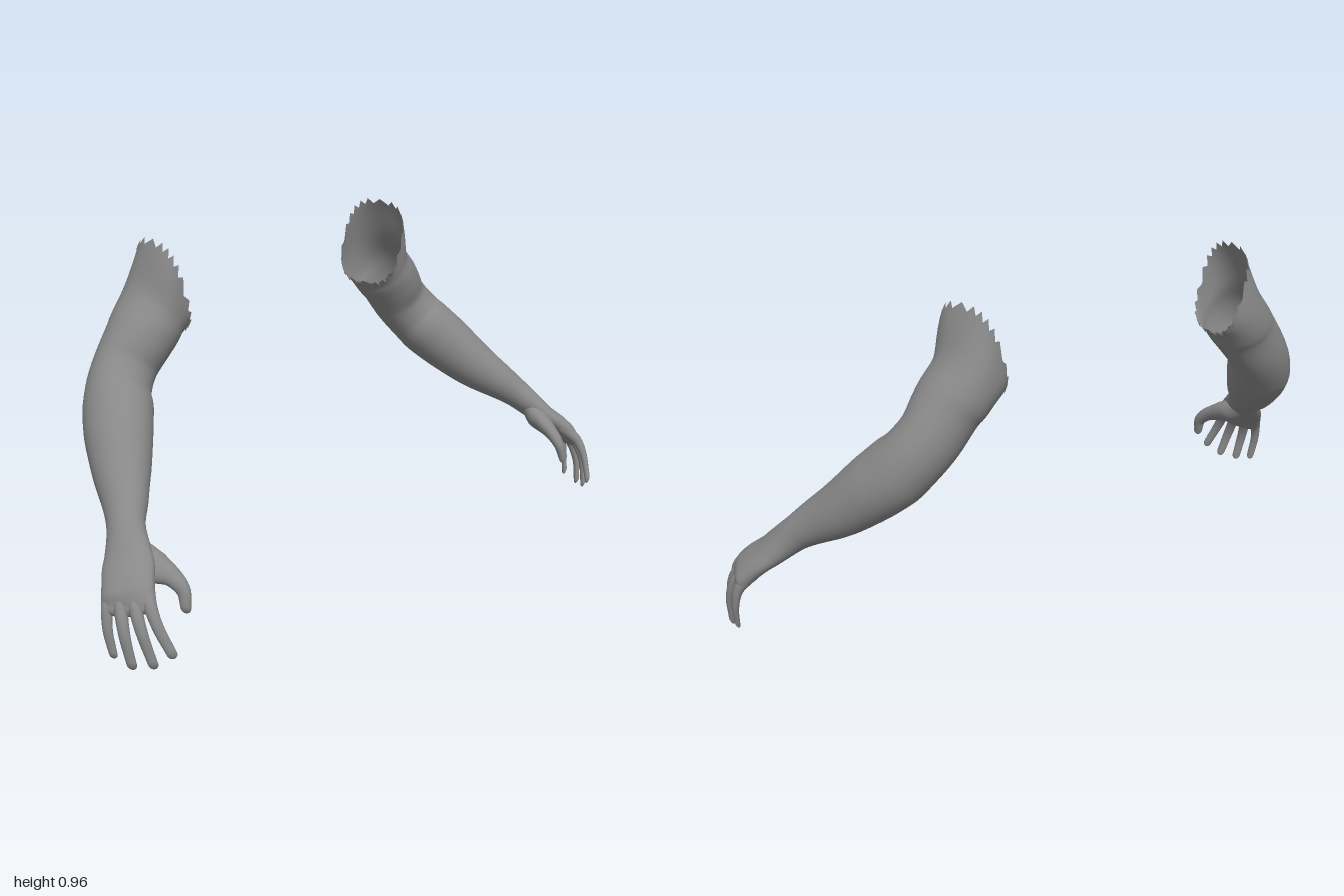
import * as THREE from 'three';

const material = new THREE.MeshStandardMaterial({ color: 0x888888, side: THREE.DoubleSide });

// Smooth skin through rings: { c: centre, u: direction, r: [radius on u, radius across, squareness] }
function loft(rings, sides, steps, jag, mirror) {
  const curveOf = (key) => new THREE.CatmullRomCurve3(rings.map((k) => new THREE.Vector3(...k[key])));
  const centre = curveOf('c'), dir = curveOf('u'), radius = curveOf('r');
  const pos = [], index = [];
  const addRing = (t, shrink, push) => {
    const c = centre.getPoint(t), tan = centre.getTangent(t), u = dir.getPoint(t).normalize();
    const v = tan.clone().cross(u).normalize(), r = radius.getPoint(t);
    const power = (x) => Math.sign(x) * Math.pow(Math.abs(x), r.z);
    for (let j = 0; j < sides; j++) {
      const a = (j / sides) * Math.PI * 2;
      const p = c.clone()
        .addScaledVector(u, r.x * shrink * power(Math.cos(a)))
        .addScaledVector(v, r.y * shrink * power(Math.sin(a)))
        .addScaledVector(tan, push * r.x);
      // ragged teeth on the open edge
      if (t === 0 && j % 2) p.addScaledVector(tan, jag);
      pos.push(mirror * p.x, p.y, p.z);
    }
  };
  for (let i = 0; i <= steps; i++) addRing(i / steps, 1, 0);
  // rounded end
  for (let k = 1; k <= 5; k++) {
    const a = (k / 5) * Math.PI / 2;
    addRing(1, Math.max(Math.cos(a), 0.001), Math.sin(a));
  }
  const rows = steps + 6;
  for (let i = 0; i < rows - 1; i++) {
    for (let j = 0; j < sides; j++) {
      const a = i * sides + j, b = i * sides + (j + 1) % sides, c = a + sides, d = b + sides;
      if (mirror > 0) index.push(a, b, c, b, d, c);
      else index.push(a, c, b, b, c, d);
    }
  }
  const geo = new THREE.BufferGeometry();
  geo.setAttribute('position', new THREE.Float32BufferAttribute(pos, 3));
  geo.setIndex(index);
  geo.computeVertexNormals();
  return geo;
}

const ring = (c, u, ru, rv, e = 1) => ({ c, u, r: [ru, rv, e] });
const out = [0.82, 0.576, 0], hand = [0.633, 0.727, 0.206];

// Upper arm, elbow, forearm, wrist and palm
const armRings = [
  ring([0.43, 0.84, -0.215], [0.3, 0.954, 0], 0.131, 0.105, 0.68),
  ring([0.474, 0.757, -0.225], [0.6, 0.8, 0], 0.094, 0.105, 0.92),
  ring([0.525, 0.695, -0.22], out, 0.094, 0.098),
  ring([0.578, 0.627, -0.22], out, 0.091, 0.086),
  ring([0.625, 0.568, -0.197], out, 0.09, 0.09),
  ring([0.655, 0.525, -0.164], out, 0.091, 0.099),
  ring([0.69, 0.48, -0.122], out, 0.088, 0.096),
  ring([0.75, 0.4, -0.04], out, 0.073, 0.08),
  ring([0.8, 0.345, 0.03], out, 0.056, 0.062),
  ring([0.838, 0.305, 0.075], [0.75, 0.64, 0.08], 0.045, 0.052),
  ring([0.88, 0.25, 0.13], hand, 0.036, 0.064),
  ring([0.922, 0.202, 0.177], hand, 0.031, 0.07, 0.9),
  ring([0.943, 0.17, 0.2], hand, 0.025, 0.068, 0.8),
  ring([0.952, 0.152, 0.208], hand, 0.016, 0.064, 0.8),
];

// Finger paths from inside the palm to the tip, with base and tip radius
const fingers = {
  indexFinger: [[[0.893, 0.21, 0.215], [0.921, 0.167, 0.259], [0.923, 0.12, 0.287], [0.906, 0.053, 0.317]], 0.019, 0.013],
  middleFinger: [[[0.912, 0.205, 0.188], [0.944, 0.159, 0.23], [0.951, 0.1, 0.261], [0.937, 0.024, 0.281]], 0.019, 0.013],
  ringFinger: [[[0.928, 0.197, 0.16], [0.963, 0.153, 0.196], [0.975, 0.092, 0.221], [0.967, 0.018, 0.235]], 0.019, 0.013],
  littleFinger: [[[0.941, 0.192, 0.133], [0.974, 0.15, 0.156], [0.984, 0.096, 0.167], [0.978, 0.032, 0.178]], 0.018, 0.011],
};

// Thumb with its muscle running back to the wrist
const thumbRings = [
  ring([0.853, 0.275, 0.1], hand, 0.024, 0.028),
  ring([0.846, 0.242, 0.145], hand, 0.034, 0.042),
  ring([0.838, 0.225, 0.185], hand, 0.029, 0.041),
  ring([0.822, 0.207, 0.228], hand, 0.022, 0.026),
  ring([0.815, 0.178, 0.262], hand, 0.019, 0.019),
  ring([0.819, 0.136, 0.275], hand, 0.014, 0.014),
];

function buildArm(mirror) {
  const arm = new THREE.Group();
  const add = (name, geo) => {
    const mesh = new THREE.Mesh(geo, material);
    mesh.name = name;
    arm.add(mesh);
  };
  add('armAndPalm', loft(armRings, 44, 72, 0.02, mirror));
  add('thumb', loft(thumbRings, 20, 28, 0, mirror));
  for (const [name, [path, base, tip]] of Object.entries(fingers)) {
    const rings = path.map((p, i) => {
      const r = THREE.MathUtils.lerp(base, tip, i / (path.length - 1));
      return ring(p, hand, r, r);
    });
    add(name, loft(rings, 16, 24, 0, mirror));
  }
  return arm;
}

export function createModel() {
  const model = new THREE.Group();
  model.name = 'pairOfArms';
  for (const [name, mirror] of [['leftArm', 1], ['rightArm', -1]]) {
    const arm = buildArm(mirror);
    arm.name = name;
    model.add(arm);
  }
  return model;
}
